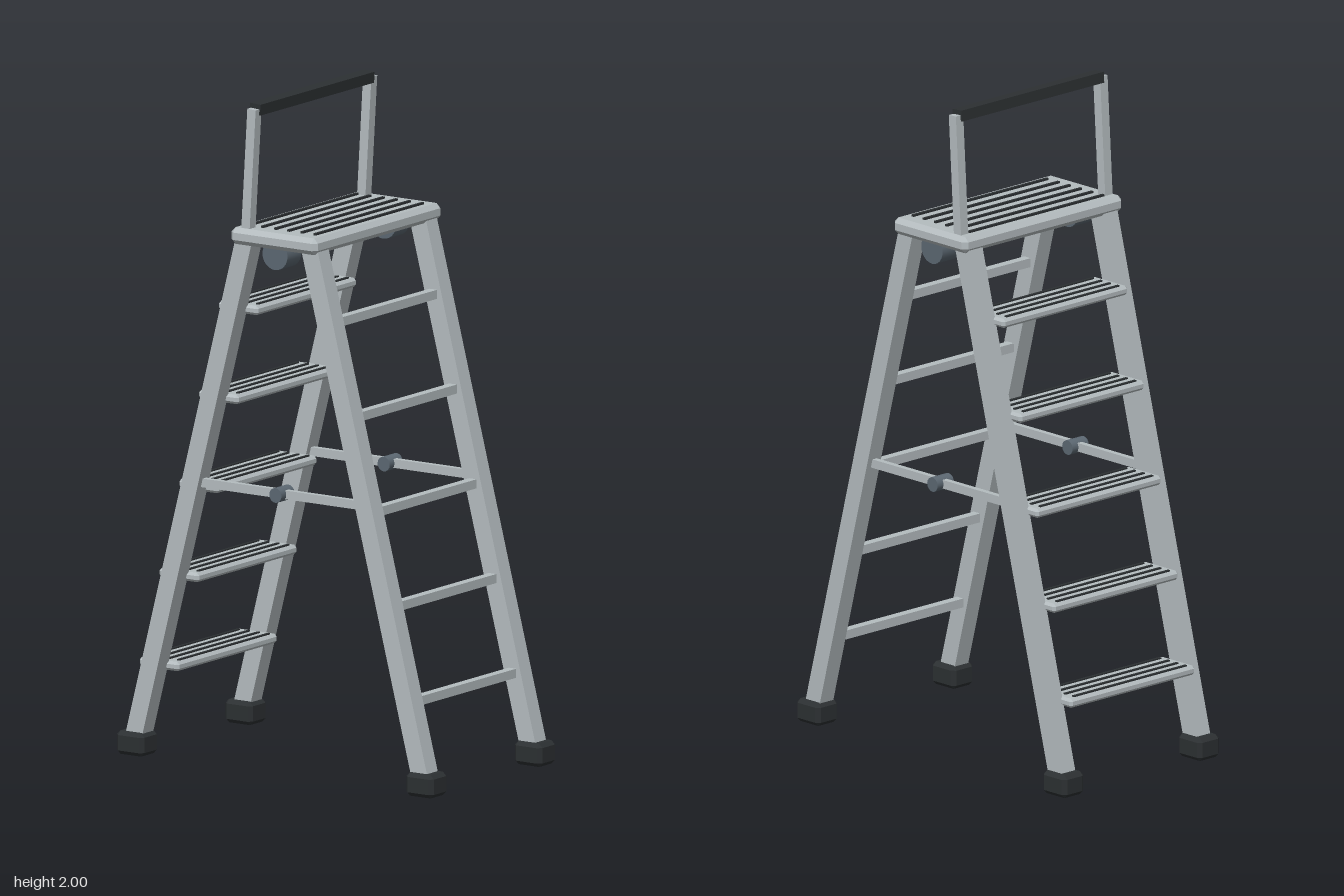
import * as THREE from 'three';
import { ConvexGeometry } from 'three/addons/geometries/ConvexGeometry.js';

const metal = new THREE.MeshStandardMaterial({ color: 0xb4bcbf });
const rubber = new THREE.MeshStandardMaterial({ color: 0x2c3032 });
const steel = new THREE.MeshStandardMaterial({ color: 0x5c6872 });

// Box with all edges and corners chamfered by c
function chamferBox(w, h, d, c) {
  const points = [];
  for (const x of [-1, 1]) for (const y of [-1, 1]) for (const z of [-1, 1]) {
    for (let axis = 0; axis < 3; axis++) {
      const half = [w / 2, h / 2, d / 2].map((s, i) => (i === axis ? s : s - c));
      points.push(new THREE.Vector3(x * half[0], y * half[1], z * half[2]));
    }
  }
  return new ConvexGeometry(points);
}

function createPart(parent, name, geometry, material, x, y, z) {
  const mesh = new THREE.Mesh(geometry, material);
  mesh.name = name;
  mesh.position.set(x, y, z);
  parent.add(mesh);
  return mesh;
}

// Straight bar in a side plane, from (y0, z0) to (y1, z1)
function createBar(parent, name, x, y0, z0, y1, z1, w, d) {
  const length = Math.hypot(y1 - y0, z1 - z0);
  const bar = createPart(parent, name, new THREE.BoxGeometry(w, length, d), metal, x, (y0 + y1) / 2, (z0 + z1) / 2);
  bar.rotation.x = Math.atan2(z1 - z0, y1 - y0);
  return bar;
}

// Dark anti-slip ridges across a surface
function createRidges(parent, count, spacing, width, y) {
  for (let i = 0; i < count; i++) {
    const z = (i - (count - 1) / 2) * spacing;
    createPart(parent, 'gripRidge', new THREE.BoxGeometry(width, 0.012, 0.009), rubber, 0, y, z);
  }
}

// Distance of the leg centre line from the middle at height y
const legZ = (y) => 0.12 + (1.58 - y) * 0.258;

export function createModel() {
  const ladder = new THREE.Group();
  ladder.name = 'stepLadder';

  // Legs and rubber feet
  for (const side of [-1, 1]) {
    for (const end of [-1, 1]) {
      const place = end > 0 ? 'front' : 'rear';
      createBar(ladder, place + 'Leg', side * 0.275, 0.04, end * legZ(0.04), 1.595, end * legZ(1.595), 0.055, 0.058);
      createPart(ladder, place + 'Foot', chamferBox(0.087, 0.07, 0.098, 0.012), rubber, side * 0.276, 0.038 - 0.003, end * 0.519);
    }
  }

  // Treads between the rear legs, plain rungs between the front legs
  for (let i = 0; i < 5; i++) {
    const y = 0.27 + i * 0.275;
    const tread = new THREE.Group();
    tread.name = 'tread';
    tread.position.set(0, y, -legZ(y));
    createPart(tread, 'treadBoard', chamferBox(0.51, 0.028, 0.142, 0.008), metal, 0, 0, 0);
    createRidges(tread, 4, 0.036, 0.46, 0.012);
    ladder.add(tread);
    createPart(ladder, 'frontRung', new THREE.BoxGeometry(0.5, 0.027, 0.027), metal, 0, y, legZ(y));
  }

  // Top platform
  const platform = new THREE.Group();
  platform.name = 'platform';
  platform.position.y = 1.602;
  createPart(platform, 'platformBoard', chamferBox(0.65, 0.05, 0.31, 0.014), metal, 0, 0, 0);
  createRidges(platform, 6, 0.047, 0.55, 0.025);
  ladder.add(platform);

  // Hinges and folding braces on each side
  for (const side of [-1, 1]) {
    const hinge = createPart(ladder, 'hingeDisc', new THREE.CylinderGeometry(0.045, 0.045, 0.07, 24), steel, side * 0.275, 1.56, 0);
    hinge.rotation.z = Math.PI / 2;
    createBar(ladder, 'spreaderBar', side * 0.275, 0.84, -0.3, 0.84, 0.3, 0.018, 0.026);
    const pivot = createPart(ladder, 'spreaderPivot', new THREE.CylinderGeometry(0.022, 0.022, 0.066, 16), steel, side * 0.275, 0.84, 0);
    pivot.rotation.z = Math.PI / 2;
  }

  // Leaning handrail with a dark grip
  for (const side of [-1, 1]) {
    createBar(ladder, 'handrailPost', side * 0.294, 1.6, -0.108, 1.985, -0.085, 0.03, 0.03);
  }
  const grip = createPart(ladder, 'handrailGrip', new THREE.BoxGeometry(0.58, 0.033, 0.038), rubber, 0, 1.983, -0.086);
  grip.rotation.x = 0.06;

  return ladder;
}
